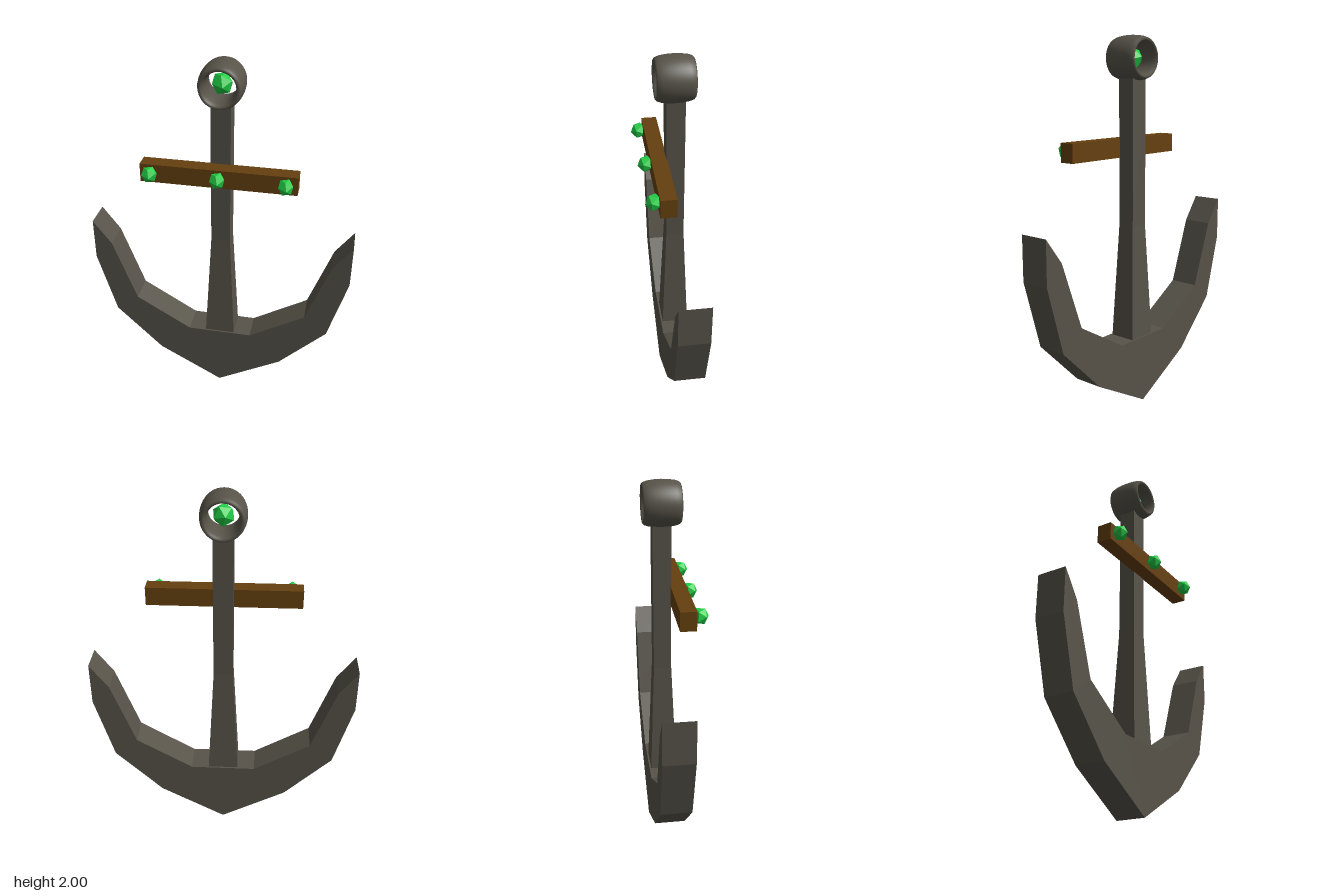
import * as THREE from 'three';

const MID_Z = -0.048; // middle plane of the ironwork

export function createModel() {
  const model = new THREE.Group();
  model.name = 'anchor';
  const iron = new THREE.MeshStandardMaterial({ color: 0x575349, flatShading: true });
  const smoothIron = new THREE.MeshStandardMaterial({ color: 0x575349 });
  const wood = new THREE.MeshStandardMaterial({ color: 0x66400f, flatShading: true });
  const emerald = new THREE.MeshStandardMaterial({ color: 0x1fcc44, flatShading: true });

  const add = (name, geometry, material, x = 0, y = 0, z = 0) => {
    const mesh = new THREE.Mesh(geometry, material);
    mesh.name = name;
    mesh.position.set(x, y, z);
    model.add(mesh);
    return mesh;
  };

  // Curved arms with pointed flukes: half outline, mirrored and extruded
  const half = [[0.36, 0.2], [0.62, 0.46], [0.72, 0.82], [0.72, 1.055],
    [0.62, 0.92], [0.49, 0.56], [0.18, 0.375]];
  const outline = [[0, 0], ...half, ...half.map(([x, y]) => [-x, y]).reverse()];
  const armShape = new THREE.Shape(outline.map(([x, y]) => new THREE.Vector2(x, y)));
  add('arms', new THREE.ExtrudeGeometry(armShape, { depth: 0.164, bevelEnabled: false }),
    iron, 0, 0, MID_Z - 0.082);

  // Shank: straight box that flares toward the arms below y = 1
  const bottom = 0.36, top = 1.785, flareTop = 1.0;
  const shank = new THREE.BoxGeometry(0.104, top - bottom, 0.094, 1, 2, 1);
  shank.translate(0, (top + bottom) / 2, 0);
  const p = shank.attributes.position;
  for (let i = 0; i < p.count; i++) {
    const y = p.getY(i);
    if (y < bottom + 0.01) p.setXYZ(i, p.getX(i) * 1.62, y, p.getZ(i) * 1.55);
    else if (y < top - 0.01) p.setY(i, flareTop);
  }
  add('shank', shank, iron, 0, 0, MID_Z);

  // Barrel-like ring: torus stretched along its axis
  const ring = new THREE.TorusGeometry(0.096, 0.021, 16, 40);
  ring.scale(1, 1, 0.097 / 0.021);
  add('ring', ring, smoothIron, 0, 1.883, -0.045);

  // Wooden crossbar in front of the shank
  add('crossbar', new THREE.BoxGeometry(0.82, 0.1, 0.082), wood, 0, 1.415, 0.036);

  // Faceted gems on the crossbar and inside the ring
  const addGem = (name, radius, x, y, z) => {
    const gem = add(name, new THREE.IcosahedronGeometry(radius), emerald, x, y, z);
    gem.rotation.set(-0.45, 0.1, 0.2);
  };
  for (const x of [-0.355, 0, 0.35]) addGem('crossbarGem', 0.044, x, 1.42, 0.1);
  addGem('ringGem', 0.058, 0, 1.883, -0.045);

  return model;
}
